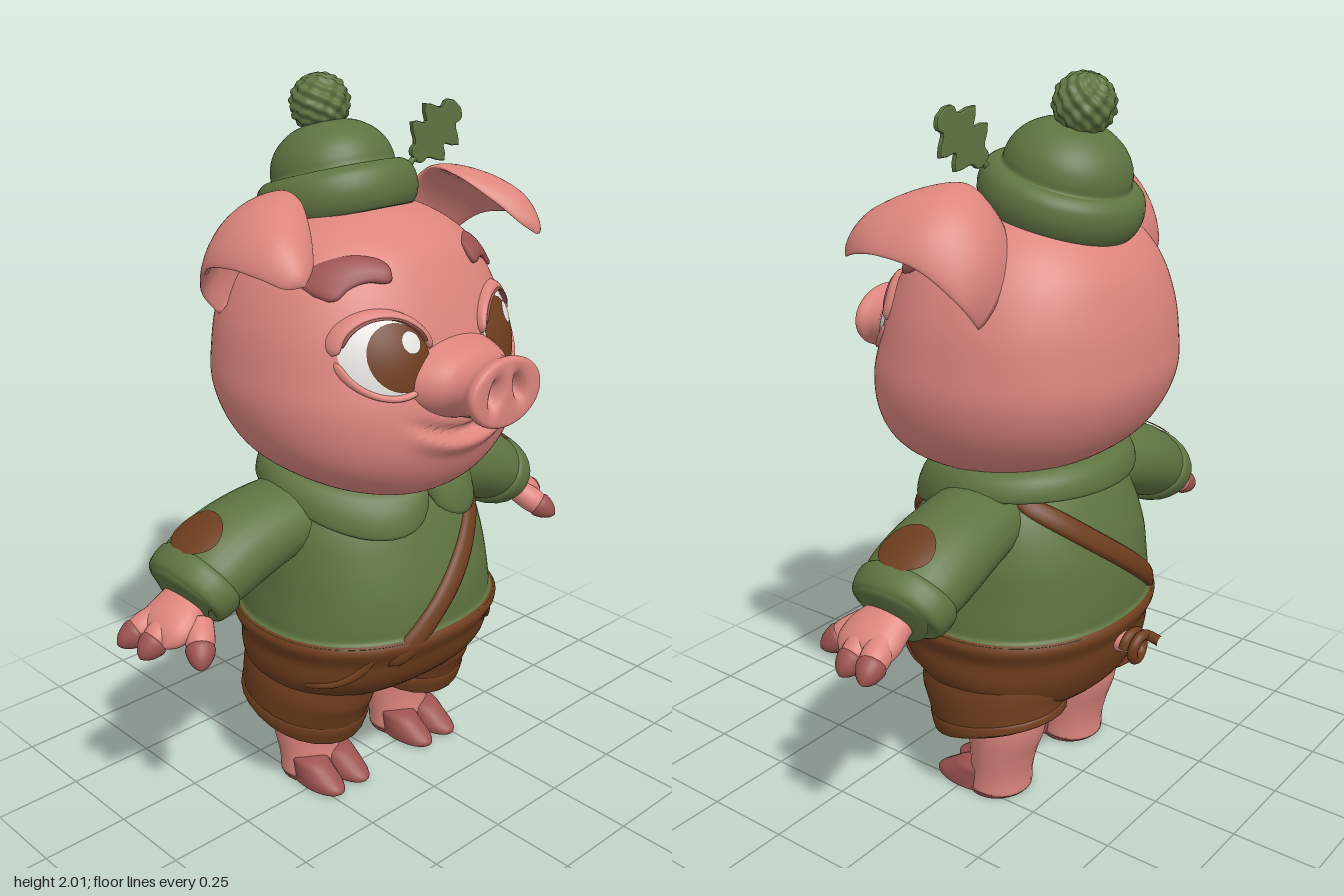
import * as THREE from 'three';
import { mergeVertices } from 'three/addons/utils/BufferGeometryUtils.js';

const mat = (name, color) => Object.assign(new THREE.MeshStandardMaterial({ color }), { name });
const { cos, sin, abs, sign, PI, min, max, exp } = Math;
const V = (x, y, z) => new THREE.Vector3(x, y, z);
const P = 2.2; // roundness of the head and body sections
const sup = (v) => sign(v) * abs(v) ** (2 / P);

// smooth interpolation of table rows, t in 0..1
function at(table, t) {
  const n = table.length - 1, s = min(max(t, 0), 1) * n, i = min(Math.floor(s), n - 1), f = s - i;
  const [a, b, c, d] = [-1, 0, 1, 2].map((k) => table[min(max(i + k, 0), n)]);
  return b.map((q, k) => q + 0.5 * f * (c[k] - a[k] + f * (2 * a[k] - 5 * q + 4 * c[k] - d[k] + f * (3 * (q - c[k]) + d[k] - a[k]))));
}

// smooth surface from fn(u, v) -> [x, y, z], turned to face outward
function skin(group, name, material, fn, nu, nv) {
  const pos = [], idx = [];
  for (let j = 0; j <= nv; j++) for (let i = 0; i <= nu; i++) pos.push(...fn(i / nu, j / nv));
  for (let j = 0; j < nv; j++) for (let i = 0; i < nu; i++) {
    const a = j * (nu + 1) + i, b = a + nu + 1;
    idx.push(a, b, a + 1, a + 1, b, b + 1);
  }
  const p = (i) => V(pos[3 * i], pos[3 * i + 1], pos[3 * i + 2]);
  let vol = 0;
  for (let k = 0; k < idx.length; k += 3) vol += p(idx[k]).dot(p(idx[k + 1]).cross(p(idx[k + 2])));
  if (vol < 0) idx.reverse();
  let geo = new THREE.BufferGeometry();
  geo.setAttribute('position', new THREE.Float32BufferAttribute(pos, 3));
  geo.setIndex(idx);
  geo = mergeVertices(geo, 1e-5);
  geo.computeVertexNormals();
  const mesh = new THREE.Mesh(geo, material);
  mesh.name = name;
  group.add(mesh);
}

// upright section rows: [y, half width, front z, back z]
const HEAD = [[0.93, 0, 0.08, 0.08], [0.94, 0.12, 0.2, -0.06], [0.975, 0.24, 0.27, -0.2], [1.04, 0.34, 0.32, -0.32],
  [1.12, 0.395, 0.347, -0.39], [1.22, 0.42, 0.347, -0.43], [1.32, 0.412, 0.32, -0.43], [1.42, 0.392, 0.288, -0.415],
  [1.52, 0.35, 0.243, -0.38], [1.6, 0.29, 0.19, -0.32], [1.66, 0.2, 0.1, -0.24], [1.69, 0.1, 0, -0.15], [1.7, 0, -0.07, -0.07]];
const SHORTS = [[0.26, 0, -0.08, -0.08], [0.275, 0.16, 0.03, -0.2], [0.32, 0.3, 0.14, -0.3], [0.4, 0.368, 0.245, -0.35],
  [0.48, 0.374, 0.283, -0.367], [0.56, 0.362, 0.283, -0.363], [0.565, 0, -0.04, -0.04]];
const SWEATER = [[0.545, 0, -0.04, -0.04], [0.548, 0.355, 0.275, -0.355], [0.565, 0.369, 0.289, -0.37], [0.66, 0.357, 0.282, -0.366],
  [0.76, 0.345, 0.255, -0.35], [0.86, 0.32, 0.215, -0.31], [0.94, 0.27, 0.16, -0.26], [1.0, 0.2, 0.09, -0.2], [1.02, 0, -0.05, -0.05]];
const BODY = [...SHORTS.slice(0, 5), ...SWEATER.slice(2)];
const upright = (table, t, a) => {
  const [y, rx, zf, zb] = at(table, t);
  return [rx * sup(cos(a)), y, (zf + zb) / 2 + (zf - zb) / 2 * sup(sin(a))];
};
// z of an upright form at x, y; side 1 is the front, -1 the back
function zAt(table, x, y, side = 1) {
  let lo = 0, hi = 1;
  for (let k = 0; k < 24; k++) { const m = (lo + hi) / 2; if (at(table, m)[0] < y) lo = m; else hi = m; }
  const [, rx, zf, zb] = at(table, lo);
  return (zf + zb) / 2 + side * (zf - zb) / 2 * max(0, 1 - min(1, abs(x / max(rx, 0.01))) ** P) ** (1 / P);
}

// limb rows: [x, y, z, radius u, radius v], sections square to the path
const limbPoint = (rows, t, a, ref, grow = 0) => {
  const r = at(rows, t), p = at(rows, t - 0.02), q = at(rows, t + 0.02);
  const T = V(q[0] - p[0], q[1] - p[1], q[2] - p[2]).normalize();
  const U = ref.clone().cross(T).normalize(), W = T.clone().cross(U);
  return V(r[0], r[1], r[2]).addScaledVector(U, (r[3] + grow) * cos(a)).addScaledVector(W, (r[4] + grow) * sin(a));
};
function limb(group, name, material, rows, s = 1, ref = V(0, 0, 1), warp = null, nu = 26) {
  const nv = rows.length * 5;
  skin(group, name, material, (u, v) => {
    const t = (v - 1 / nv) / (1 - 2 / nv);
    const q = v === 0 || v === 1 ? V(...at(rows, v).slice(0, 3)) : limbPoint(rows, t, u * 2 * PI, ref);
    if (warp) warp(q);
    return [s * q.x, q.y, q.z];
  }, nu, nv);
}

// raised strip following x, y points over a surface
function ribbon(group, name, material, pts, width, thick, surf, side = 1) {
  const curve = new THREE.CatmullRomCurve3(pts.map(([x, y]) => V(x, y, 0)));
  skin(group, name, material, (u, v) => {
    const c = curve.getPoint(v), d = curve.getTangent(v), end = (1 - abs(2 * v - 1) ** 10) ** 0.5;
    const w = width * end * sup(cos(u * 2 * PI));
    const x = c.x - d.y * w, y = c.y + d.x * w;
    return [x, y, surf(x, y) + side * thick * end * sup(sin(u * 2 * PI))];
  }, 12, 32);
}

export function createModel() {
  const pink = mat('pink skin', 0xdc857d), rose = mat('dark pink', 0x9c5350), green = mat('green wool', 0x5f7341),
    brown = mat('brown cloth', 0x6e3d1e), white = mat('eye white', 0xe9e6e2);
  const root = new THREE.Group();
  const part = (name) => { const g = new THREE.Group(); g.name = name; root.add(g); return g; };
  const headZ = (x, y) => zAt(HEAD, x, y);

  // head with smile groove and lower lip
  const head = part('head');
  skin(head, 'skull', pink, (u, v) => {
    const q = upright(HEAD, v, u * 2 * PI), [x, y, z] = q;
    if (z > 0.1) {
      const d = y - 1.15 - 1.6 * x * x, fade = exp(-((x / 0.17) ** 6));
      q[2] += fade * (0.022 * exp(-(((d + 0.035) / 0.024) ** 2)) - 0.025 * exp(-((d / 0.012) ** 2)));
    }
    return q;
  }, 110, 110);
  // snout with two nostril hollows
  limb(head, 'snout', pink, [[0, 1.285, 0.24, 0.12, 0.2], [0, 1.283, 0.33, 0.1, 0.16], [0, 1.28, 0.385, 0.084, 0.122], [0, 1.28, 0.43, 0.082, 0.118],
    [0, 1.28, 0.462, 0.091, 0.13], [0, 1.28, 0.479, 0.086, 0.122], [0, 1.28, 0.482, 0.06, 0.085], [0, 1.28, 0.4825, 0.03, 0.04], [0, 1.28, 0.483, 0.002, 0.002]],
  1, V(1, 0, 0), (q) => {
    if (q.z > 0.455) q.z -= 0.045 * exp(-(((abs(q.x) - 0.045 + 0.2 * (q.y - 1.285)) / 0.018) ** 2) - ((q.y - 1.285) / 0.034) ** 2);
  }, 60);

  for (const s of [1, -1]) {
    // eyes, lids and brows
    const ex = 0.208, ey = 1.37;
    const bulge = (x, y) => headZ(x, y) + 0.004 + 0.016 * max(0, 1 - ((abs(x) - ex) / 0.105) ** 2 - ((y - ey) / 0.096) ** 2);
    const disc = (name, m, cx, cy, rx, ry, lift) => skin(head, name, m, (u, v) => {
      const x = cx + rx * v * cos(u * 2 * PI), y = cy + ry * v * sin(u * 2 * PI);
      return [x, y, bulge(x, y) + lift];
    }, 32, 10);
    disc('eyeWhite', white, s * ex, ey, 0.105, 0.096, 0);
    disc('iris', brown, s * 0.186, 1.367, 0.08, 0.084, 0.003);
    disc('eyeHighlight', white, s > 0 ? 0.232 : -0.155, 1.403, 0.026, 0.026, 0.006);
    const arc = (a, b, r) => Array.from({ length: 9 }, (_, i) => {
      const t = (a + (b - a) * i / 8) * PI;
      return [s * (ex + (0.104 + r) * cos(t)), ey + (0.094 + r) * sin(t)];
    });
    ribbon(head, 'upperLid', pink, arc(0.02, 0.98, 0.008), 0.012, 0.024, headZ);
    ribbon(head, 'lashLine', rose, arc(0.08, 0.92, 0), 0.005, 0.027, headZ);
    ribbon(head, 'lowerLid', pink, arc(1.02, 1.98, 0.006), 0.009, 0.013, headZ);
    ribbon(head, 'brow', rose, [[s * 0.14, 1.56], [s * 0.2, 1.572], [s * 0.26, 1.555], [s * 0.31, 1.512]], 0.03, 0.022, headZ);

    // folded ear: centre line and half-width vector
    const EAR = [[0.29, 1.54, -0.15, 0.09, -0.12, -0.04], [0.35, 1.61, -0.14, 0.1, -0.11, -0.04], [0.385, 1.67, -0.07, 0.115, -0.085, -0.02],
      [0.4, 1.675, 0.03, 0.115, -0.065, 0], [0.415, 1.64, 0.12, 0.085, -0.04, 0], [0.42, 1.595, 0.18, 0.045, -0.02, 0], [0.42, 1.575, 0.2, 0.002, -0.001, 0]];
    skin(head, 'ear', pink, (u, v) => {
      const r = at(EAR, v), p = at(EAR, v - 0.03), q = at(EAR, v + 0.03), a = u * 2 * PI;
      const h = V(r[3], r[4], r[5]), c = V(r[0], r[1], r[2]);
      const n = V(q[0] - p[0], q[1] - p[1], q[2] - p[2]).cross(h).normalize();
      const size = min(1, h.length() / 0.1);
      if (v > 0) c.addScaledVector(h, cos(a)).addScaledVector(n, size * (0.02 * sin(a) + 0.035 * sin(a) ** 2 - 0.01));
      return [s * c.x, c.y, c.z];
    }, 32, 40);

    // sleeve, rolled cuff and elbow patch
    const arm = part(s > 0 ? 'leftArm' : 'rightArm');
    const SLEEVE = [[0.2, 0.87, -0.07, 0.1, 0.13], [0.34, 0.85, -0.08, 0.108, 0.14], [0.46, 0.815, -0.085, 0.115, 0.145],
      [0.55, 0.775, -0.085, 0.108, 0.142], [0.595, 0.745, -0.085, 0.088, 0.12]];
    limb(arm, 'sleeve', green, SLEEVE, s);
    limb(arm, 'cuff', green, [[0.545, 0.775, -0.085, 0.095, 0.13], [0.56, 0.766, -0.085, 0.113, 0.148], [0.59, 0.748, -0.085, 0.112, 0.148],
      [0.615, 0.733, -0.085, 0.1, 0.135], [0.618, 0.731, -0.085, 0.07, 0.1]], s);
    skin(arm, 'elbowPatch', brown, (u, v) => {
      const a = u * 2 * PI, q = limbPoint(SLEEVE, 0.66 + 0.16 * v * cos(a), 0.56 * v * sin(a), V(0, 0, 1), 0.007);
      return [s * q.x, q.y, q.z];
    }, 28, 8);

    // hand with three hoofed fingers
    limb(arm, 'palm', pink, [[0.57, 0.745, -0.08, 0.05, 0.07], [0.62, 0.715, -0.075, 0.05, 0.075], [0.67, 0.685, -0.065, 0.05, 0.092],
      [0.71, 0.66, -0.06, 0.04, 0.085], [0.735, 0.645, -0.06, 0.012, 0.05]], s);
    for (const [bx, bz, tx, ty, tz] of [[0.68, -0.105, 0.795, 0.625, -0.135], [0.68, -0.055, 0.785, 0.617, -0.05], [0.63, 0, 0.7, 0.61, 0.095]]) {
      const mix = (k, r) => [bx + (tx - bx) * k, 0.685 + (ty - 0.685) * k, bz + (tz - bz) * k, r, r];
      limb(arm, 'finger', pink, [mix(0, 0.036), mix(0.4, 0.039), mix(0.7, 0.03)], s);
      limb(arm, 'fingerHoof', rose, [mix(0.5, 0.034), mix(0.6, 0.039), mix(0.8, 0.03), mix(0.93, 0.017), mix(1, 0.003)], s);
    }

    // shorts leg with hem, bare leg and cloven foot
    const leg = part(s > 0 ? 'leftLeg' : 'rightLeg');
    limb(leg, 'shortsLeg', brown, [[0.19, 0.43, -0.05, 0.15, 0.21], [0.197, 0.36, -0.07, 0.17, 0.22], [0.2, 0.3, -0.083, 0.172, 0.207], [0.2, 0.25, -0.095, 0.168, 0.198]], s);
    limb(leg, 'hem', brown, [[0.2, 0.285, -0.087, 0.165, 0.2], [0.2, 0.275, -0.089, 0.174, 0.207], [0.2, 0.252, -0.094, 0.175, 0.205],
      [0.2, 0.242, -0.097, 0.165, 0.193], [0.2, 0.238, -0.098, 0.12, 0.14]], s);
    limb(leg, 'shin', pink, [[0.18, 0.32, -0.1, 0.12, 0.13], [0.182, 0.22, -0.105, 0.118, 0.115], [0.183, 0.14, -0.098, 0.108, 0.095],
      [0.183, 0.07, -0.09, 0.099, 0.086], [0.183, 0.012, -0.085, 0.098, 0.088]], s);
    limb(leg, 'sole', rose, [[0.183, 0.014, -0.08, 0.1, 0.092], [0.183, 0, -0.08, 0.095, 0.088]], s);
    for (const o of [-0.049, 0.049]) {
      const x = 0.183 + o;
      skin(leg, 'toe', rose, (u, v) => {
        const [y, rx, zf, zb] = at([[0, 0, 0, 0], [0.001, 0.044, 0.085, -0.1], [0.02, 0.05, 0.1, -0.1], [0.05, 0.049, 0.06, -0.1],
          [0.078, 0.042, 0.012, -0.1], [0.088, 0, -0.04, -0.04]], v), a = u * 2 * PI;
        return [s * (x + rx * cos(a)), max(y, 0), (zf + zb) / 2 + (zf - zb) / 2 * sin(a)];
      }, 24, 24);
    }
    // pocket seam
    ribbon(root, 'pocketSeam', brown, [[s * 0.225, 0.55], [s * 0.25, 0.48], [s * 0.3, 0.43], [s * 0.35, 0.41]], 0.01, 0.012, (x, y) => zAt(BODY, x, y));
  }

  // torso
  const body = part('body');
  skin(body, 'shorts', brown, (u, v) => upright(SHORTS, v, u * 2 * PI), 64, 36);
  skin(body, 'sweater', green, (u, v) => upright(SWEATER, v, u * 2 * PI), 64, 48);
  // collar with two rounded front lobes
  skin(body, 'collar', green, (u, v) => {
    const a = u * 2 * PI, f = max(0, cos(a)), turn = min(a, 2 * PI - a) * 2 / PI;
    const lobe = max(0, sin(PI * min(1, max(0, turn)) ** 0.7)) ** 0.7;
    const rim = [0.315 * sin(a), 0.935 - 0.1 * lobe * f ** 0.3, -0.05 + (cos(a) > 0 ? 0.245 + 0.07 * lobe : 0.285) * cos(a)];
    const neck = [0.2 * sin(a), 0.99 - 0.02 * cos(a), -0.05 + 0.19 * cos(a)];
    const b = v * 2 * PI, k = (1 - cos(b)) / 2, lift = 0.018 * sin(b) + 0.03 * sin(k * PI);
    return neck.map((n, i) => n + (rim[i] - n) * k + lift * [sin(a) * 0.6, 0.7, cos(a) * 0.6][i]);
  }, 96, 20);
  // shoulder strap, front and back
  ribbon(body, 'frontStrap', brown, [[0.25, 0.885], [0.12, 0.765], [-0.04, 0.62], [-0.19, 0.48]], 0.032, 0.02, (x, y) => zAt(BODY, x, y));
  ribbon(body, 'backStrap', brown, [[0.24, 0.93], [0.1, 0.81], [-0.1, 0.66], [-0.3, 0.515]], 0.03, 0.02, (x, y) => zAt(BODY, x, y, -1), -1);

  // curled tail
  const tail = part('tail');
  limb(tail, 'tailRoot', pink, [[0, 0.475, -0.34, 0.035, 0.035], [0, 0.475, -0.38, 0.03, 0.03], [0, 0.475, -0.415, 0.022, 0.022]], 1, V(1, 0, 0));
  const curl = Array.from({ length: 15 }, (_, i) => V(0.037 * cos(i * 0.6), 0.475 + 0.037 * sin(i * 0.6), -0.4 - 0.0028 * i));
  curl.push(V(-0.02, 0.5, -0.48));
  const coil = new THREE.Mesh(new THREE.TubeGeometry(new THREE.CatmullRomCurve3(curl), 70, 0.015, 10), brown);
  coil.name = 'tailCurl';
  tail.add(coil);

  // knitted hat, tilted back, with pompom
  const hat = part('hat');
  hat.position.set(0, 1.7, -0.15);
  hat.rotation.x = -0.28;
  const PROFILE = [[0, -0.06], [0.17, -0.07], [0.205, -0.058], [0.22, -0.015], [0.213, 0.03], [0.19, 0.052], [0.172, 0.055], [0.168, 0.08],
    [0.155, 0.115], [0.125, 0.15], [0.075, 0.178], [0, 0.188]];
  skin(hat, 'cap', green, (u, v) => { const [r, y] = at(PROFILE, v); return [r * cos(u * 2 * PI), y, r * sin(u * 2 * PI)]; }, 52, 48);
  skin(hat, 'pompom', green, (u, v) => {
    const a = u * 2 * PI, b = v * PI, r = 0.079 + 0.007 * sin(9 * a + 3 * b) * sin(11 * b) * sin(b);
    return [r * sin(b) * cos(a), 0.235 + r * cos(b), r * sin(b) * sin(a)];
  }, 64, 44);

  // lobed leaf tucked into the brim
  const outline = Array.from({ length: 48 }, (_, i) => {
    const t = i / 48 * 2 * PI, k = (1 - cos(t)) / 2;
    const w = sign(sin(t)) * (0.012 + sin(k * PI) ** 0.8 * (0.046 + 0.022 * cos(k * 6 * PI + 0.6)));
    return new THREE.Vector2(w, 0.03 + 0.185 * k);
  });
  const leaf = part('leaf');
  const blade = new THREE.Mesh(new THREE.ExtrudeGeometry(new THREE.Shape(outline),
    { depth: 0.008, bevelEnabled: true, bevelSize: 0.005, bevelThickness: 0.005, bevelSegments: 2 }), green);
  blade.name = 'leafBlade';
  const stem = new THREE.Mesh(new THREE.CylinderGeometry(0.007, 0.009, 0.2, 10).translate(0, 0.08, 0.004), green);
  stem.name = 'leafStem';
  leaf.add(blade, stem);
  leaf.position.set(0.145, 1.765, -0.03);
  leaf.rotation.set(0, -0.2, -0.8);
  return root;
}
